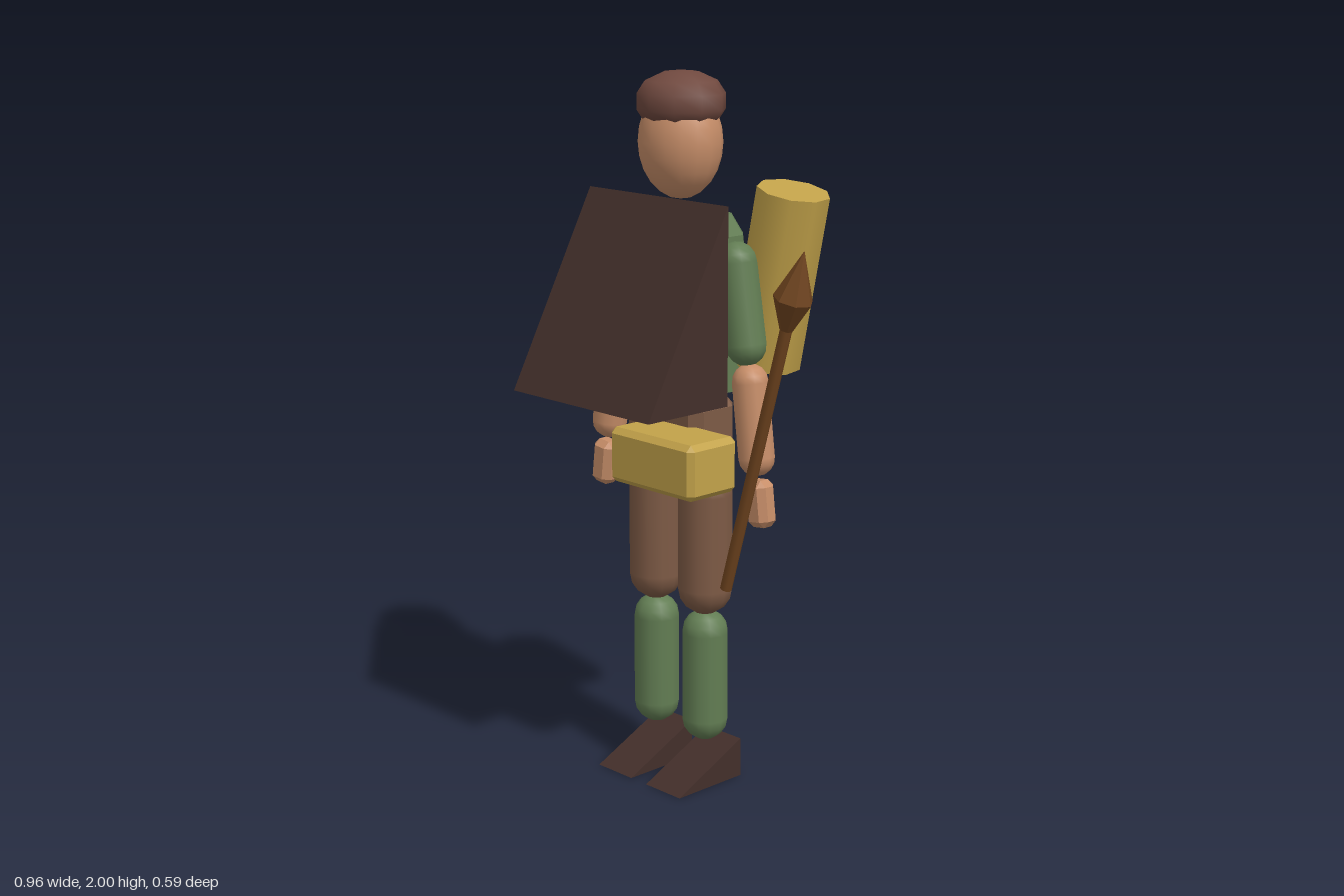
import * as THREE from 'three';
import { ConvexGeometry } from 'three/addons/geometries/ConvexGeometry.js';

const CX = -0.127, CZ = -0.073; // body axis

const material = (color, flatShading = false) => new THREE.MeshStandardMaterial({ color, flatShading });
const green = material(0x627d53), greenFlat = material(0x627d53, true);
const brown = material(0x7d5a45), brownFlat = material(0x7d5a45, true);
const skin = material(0xc68d68), skinFlat = material(0xc68d68, true);
const dark = material(0x432f2a, true), gold = material(0xc2a24a), goldFlat = material(0xc2a24a, true);
const capBrown = material(0x70493f), wood = material(0x71451f), woodFlat = material(0x71451f, true);

export function createModel() {
  const model = new THREE.Group();
  model.name = 'traveller';

  function add(name, geometry, mat, x = 0, y = 0, z = 0, tilt = 0) {
    const mesh = new THREE.Mesh(geometry, mat);
    mesh.name = name;
    mesh.position.set(x, y, z);
    mesh.rotation.z = tilt;
    model.add(mesh);
    return mesh;
  }

  // box with every edge cut at 45 degrees
  function chamferBox(w, h, d, c) {
    const pts = [];
    for (const sx of [-1, 1]) for (const sy of [-1, 1]) for (const sz of [-1, 1])
      for (let axis = 0; axis < 3; axis++) {
        const half = [w / 2 - c, h / 2 - c, d / 2 - c];
        half[axis] += c;
        pts.push(new THREE.Vector3(sx * half[0], sy * half[1], sz * half[2]));
      }
    return new ConvexGeometry(pts);
  }

  // prism, tall at the back and sloping to nothing at the front
  function wedge(w, h, d) {
    const s = new THREE.Shape([[0, 0], [d, 0], [0, h]].map(p => new THREE.Vector2(...p)));
    return new THREE.ExtrudeGeometry(s, { depth: w, bevelEnabled: false })
      .rotateY(-Math.PI / 2).translate(w / 2, 0, 0);
  }

  // rod-like part between two points in an upright plane
  function limb(name, mat, r, x1, y1, x2, y2, z = CZ) {
    const length = Math.hypot(x2 - x1, y2 - y1);
    add(name, new THREE.CapsuleGeometry(r, length, 4, 12), mat,
      (x1 + x2) / 2, (y1 + y2) / 2, z, -Math.atan2(x2 - x1, y2 - y1));
  }

  // head and cap
  add('head', new THREE.SphereGeometry(1, 16, 12).scale(0.122, 0.155, 0.11), skin, CX, 1.807, CZ);
  const capProfile = [[0, 0], [0.108, 0], [0.125, 0.025], [0.125, 0.068], [0.102, 0.102], [0.05, 0.125], [0, 0.13]];
  add('cap', new THREE.LatheGeometry(capProfile.map(p => new THREE.Vector2(...p)), 10)
    .scale(1, 1, 0.95), capBrown, CX, 1.868, CZ - 0.003);

  // torso: square hem, slightly narrower chest, cut shoulders
  const torso = [];
  for (const [w, d, y, c] of [[0.195, 0.095, 1.145, 0], [0.175, 0.085, 1.565, 0.03], [0.145, 0.06, 1.62, 0.02]])
    for (const sx of [-1, 1]) for (const sz of [-1, 1])
      torso.push(new THREE.Vector3(sx * (w - c), y, sz * d), new THREE.Vector3(sx * w, y, sz * (d - c)));
  add('torso', new ConvexGeometry(torso), greenFlat, CX, 0, -0.083);
  add('hips', chamferBox(0.3, 0.195, 0.17, 0.03), brownFlat, CX - 0.002, 1.022, CZ);

  // paired limbs
  for (const [side, s] of [['left', 1], ['right', -1]]) {
    limb(side + 'UpperArm', green, 0.057, CX + s * 0.253, 1.285, CX + s * 0.216, 1.503);
    limb(side + 'Forearm', skin, 0.051, CX + s * 0.296, 0.982, CX + s * 0.27, 1.185);
    add(side + 'Hand', chamferBox(0.075, 0.13, 0.065, 0.018), skinFlat, CX + s * 0.313, 0.857, CZ, s * 0.12);
    const legX = CX - 0.002 + s * 0.1;
    limb(side + 'Thigh', brown, 0.078, legX, 0.57, legX, 0.843);
    limb(side + 'Shin', green, 0.066, legX, 0.182, legX, 0.437);
    add(side + 'Shoe', wedge(0.138, 0.112, 0.241), dark, legX, 0, -0.148);
  }

  // gear carried on the chest, belt and back
  add('chestShield', wedge(0.543, 0.535, 0.287), dark, -0.128, 1.132, 0.013);
  add('beltPouch', chamferBox(0.325, 0.154, 0.18, 0.016), goldFlat, -0.008, 0.97, 0.07);
  add('backRoll', new THREE.CylinderGeometry(0.1, 0.1, 0.49, 9), gold, 0.124, 1.452, -0.2, -0.21);

  // spear
  const tilt = -Math.atan2(0.27, 0.94);
  const a = new THREE.Vector2(0.193, 0.655), b = new THREE.Vector2(0.403, 1.385);
  add('spearShaft', new THREE.CylinderGeometry(0.016, 0.016, a.distanceTo(b) + 0.02, 8), wood,
    (a.x + b.x) / 2, (a.y + b.y) / 2, 0.063, tilt);
  const tip = [[0, 0], [0.018, 0], [0.053, 0.085], [0, 0.218]].map(p => new THREE.Vector2(...p));
  add('spearHead', new THREE.LatheGeometry(tip, 7), woodFlat, b.x, b.y, 0.063, tilt);

  return model;
}
